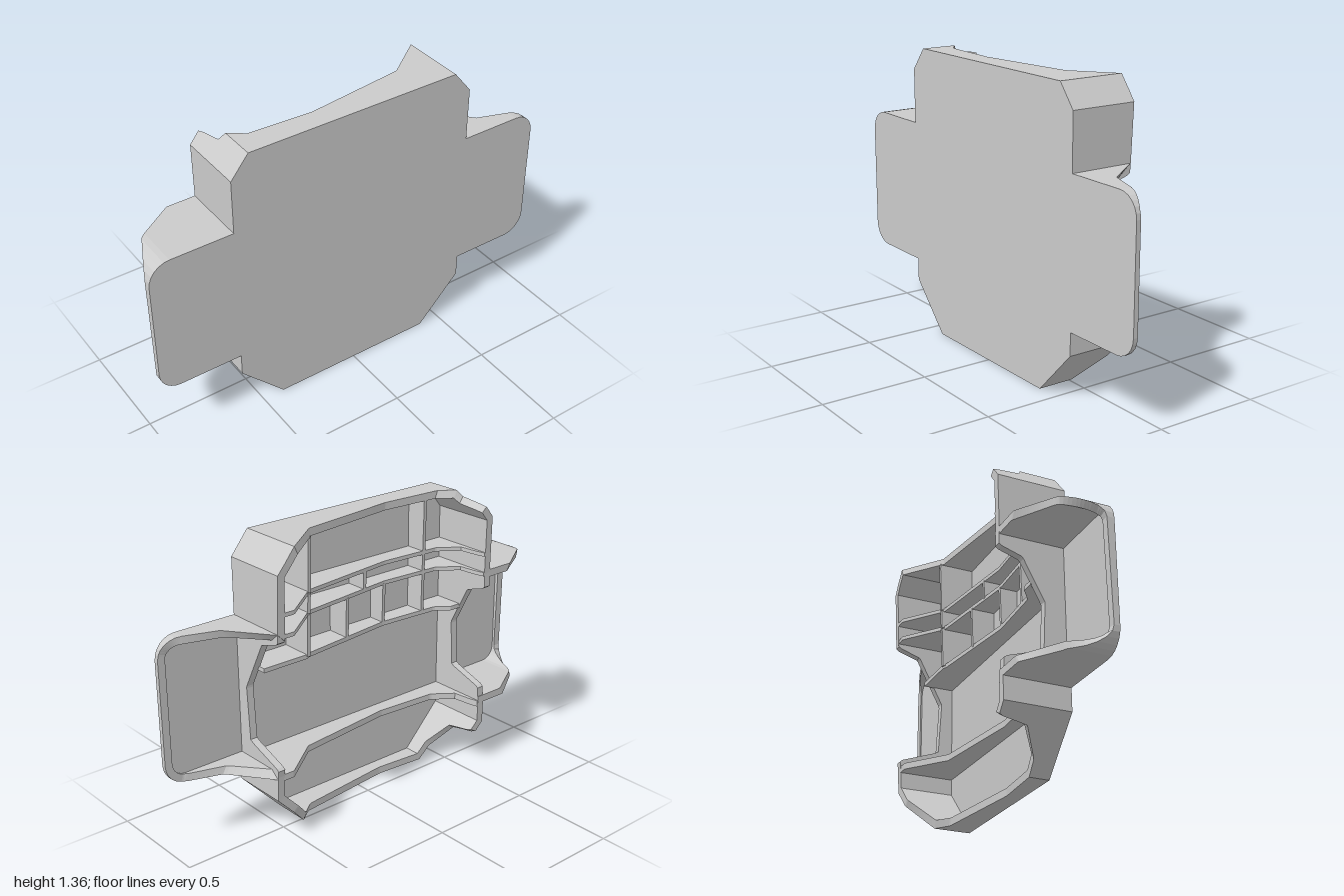
import * as THREE from 'three';

const FRONT = 0.16, FLOOR = 0.145, T = 0.035;

// Piecewise linear lookup in a list of [position, value]
function lerpTable(table, v) {
  if (v <= table[0][0]) return table[0][1];
  for (let i = 1; i < table.length; i++) {
    const [a, za] = table[i - 1], [b, zb] = table[i];
    if (v <= b) return za + (zb - za) * (v - a) / (b - a);
  }
  return table[table.length - 1][1];
}

// Rear edge of the walls across the width, with a slight lean down the height
const rimTable = [[-1, 0.12], [-0.92, -0.04], [-0.74, -0.16], [-0.56, -0.16], [-0.545, -0.03], [-0.45, 0.04],
  [-0.15, 0.055], [0.33, -0.01], [0.52, -0.155], [0.605, -0.155], [0.75, 0.04], [1, 0.125]];
function rim(x, y) {
  const lean = 0.028 + 0.013 * THREE.MathUtils.clamp(x / 0.6, -1, 1);
  const z = lerpTable(rimTable, x) + Math.max(0, 1.3 - y) * lean;
  return Math.min(z, 0.138);
}

// Rear edge of the two dividers, dipping in the middle
const rightDip = [[0.36, -0.142], [0.41, -0.14], [0.47, 0.04], [0.69, 0.05], [0.88, -0.05], [0.915, -0.158], [1, -0.155]];
const leftDip = [[0.33, -0.115], [0.37, -0.12], [0.44, 0.075], [0.69, 0.09], [0.92, -0.03], [0.955, -0.14], [1, -0.142]];

// Wall standing on the floor along a path; its thickness grows to the left of the path
function wall(path, t, back, closed = false) {
  const n = path.length, segs = closed ? n : n - 1;
  const normal = i => {
    const a = path[i % n], b = path[(i + 1) % n];
    return new THREE.Vector2(a.y - b.y, b.x - a.x).normalize();
  };
  const inner = path.map((p, i) => {
    const n1 = !closed && i === 0 ? normal(0) : normal((i + n - 1) % n);
    const n2 = !closed && i === n - 1 ? n1 : normal(i);
    return n1.clone().add(n2).multiplyScalar(t / (1 + n1.dot(n2))).add(p);
  });
  const pos = [];
  const quad = (a, b, c, d) => [a, b, c, a, c, d].forEach(p => pos.push(...p));
  const section = (i, s) => {
    const o = path[i].clone().lerp(path[(i + 1) % n], s);
    const q = inner[i].clone().lerp(inner[(i + 1) % n], s);
    const z = back(o.x, o.y);
    return { of: [o.x, o.y, FLOOR], ob: [o.x, o.y, z], jf: [q.x, q.y, FLOOR], jb: [q.x, q.y, z] };
  };
  for (let i = 0; i < segs; i++) {
    const steps = Math.max(1, Math.ceil(path[i].distanceTo(path[(i + 1) % n]) / 0.01));
    for (let k = 0; k < steps; k++) {
      const a = section(i, k / steps), b = section(i, (k + 1) / steps);
      quad(a.ob, b.ob, b.of, a.of);
      quad(a.ob, a.jb, b.jb, b.ob);
      quad(a.jf, b.jf, b.jb, a.jb);
    }
  }
  if (!closed) {
    const a = section(0, 0), b = section(segs - 1, 1);
    quad(a.of, a.jf, a.jb, a.ob);
    quad(b.ob, b.jb, b.jf, b.of);
  }
  const g = new THREE.BufferGeometry();
  g.setAttribute('position', new THREE.Float32BufferAttribute(pos, 3));
  g.computeVertexNormals();
  return g;
}

// Cross-shaped outline with rounded side wings, counter-clockwise
function outlinePoints() {
  const r = 0.1, half = [[0.395, 0], [0.605, 0.22], [0.605, 0.325]];
  const arc = (cx, cy, from) => {
    for (let i = 0; i <= 6; i++) {
      const a = from + (i / 6) * Math.PI / 2;
      half.push([cx + r * Math.cos(a), cy + r * Math.sin(a)]);
    }
  };
  arc(1 - r, 0.325 + r, -Math.PI / 2);
  arc(1 - r, 1 - r, 0);
  half.push([0.605, 1], [0.605, 1.255], [0.52, 1.36]);
  const mirrored = half.map(([x, y]) => [-x, y]).reverse();
  return [...half, ...mirrored].map(([x, y]) => new THREE.Vector2(x, y));
}

export function createModel() {
  const group = new THREE.Group();
  const material = new THREE.MeshStandardMaterial({ color: 0xcccccc, flatShading: true, side: THREE.DoubleSide });
  const add = (name, geometry) => {
    const mesh = new THREE.Mesh(geometry, material);
    mesh.name = name;
    group.add(mesh);
    return mesh;
  };
  const line = (x0, y0, x1, y1) => [new THREE.Vector2(x0, y0), new THREE.Vector2(x1, y1)];

  // Flat front panel
  const outline = outlinePoints();
  const panel = new THREE.ExtrudeGeometry(new THREE.Shape(outline), { depth: FRONT - FLOOR, bevelEnabled: false });
  add('frontPanel', panel.translate(0, 0, FLOOR));

  // Outer wall all around
  add('outerWall', wall(outline, T, rim, true));

  // Dividers between the body and the side wings
  add('leftDivider', wall(line(0.605, 0.325, 0.605, 1), T, (x, y) => lerpTable(leftDip, y)));
  add('rightDivider', wall(line(-0.57, 0.325, -0.57, 1), T, (x, y) => lerpTable(rightDip, y)));

  // Horizontal shelves
  const shallow = (x, y) => Math.max(rim(x, y), 0);
  const shelves = [['upperShelf', 1.07, 0.018, rim], ['middleShelf', 0.975, 0.018, rim],
    ['lowerShelf', 0.775, 0.02, shallow], ['bottomShelf', 0.31, 0.03, rim]];
  for (const [name, y, t, back] of shelves) add(name, wall(line(-0.575, y, 0.575, y), t, back));

  // Upright ribs in the three upper rows: bottom, top, positions
  const rows = [[1.08, 1.33, [0.34, -0.38]], [0.985, 1.075, [0.34, -0.02, -0.38]],
    [0.785, 0.98, [0.34, 0.09, -0.15, -0.38]]];
  for (const [y0, y1, xs] of rows) {
    for (const x of xs) add('rib', wall(line(x + 0.008, y0, x + 0.008, y1), 0.016, rim));
  }
  return group;
}
